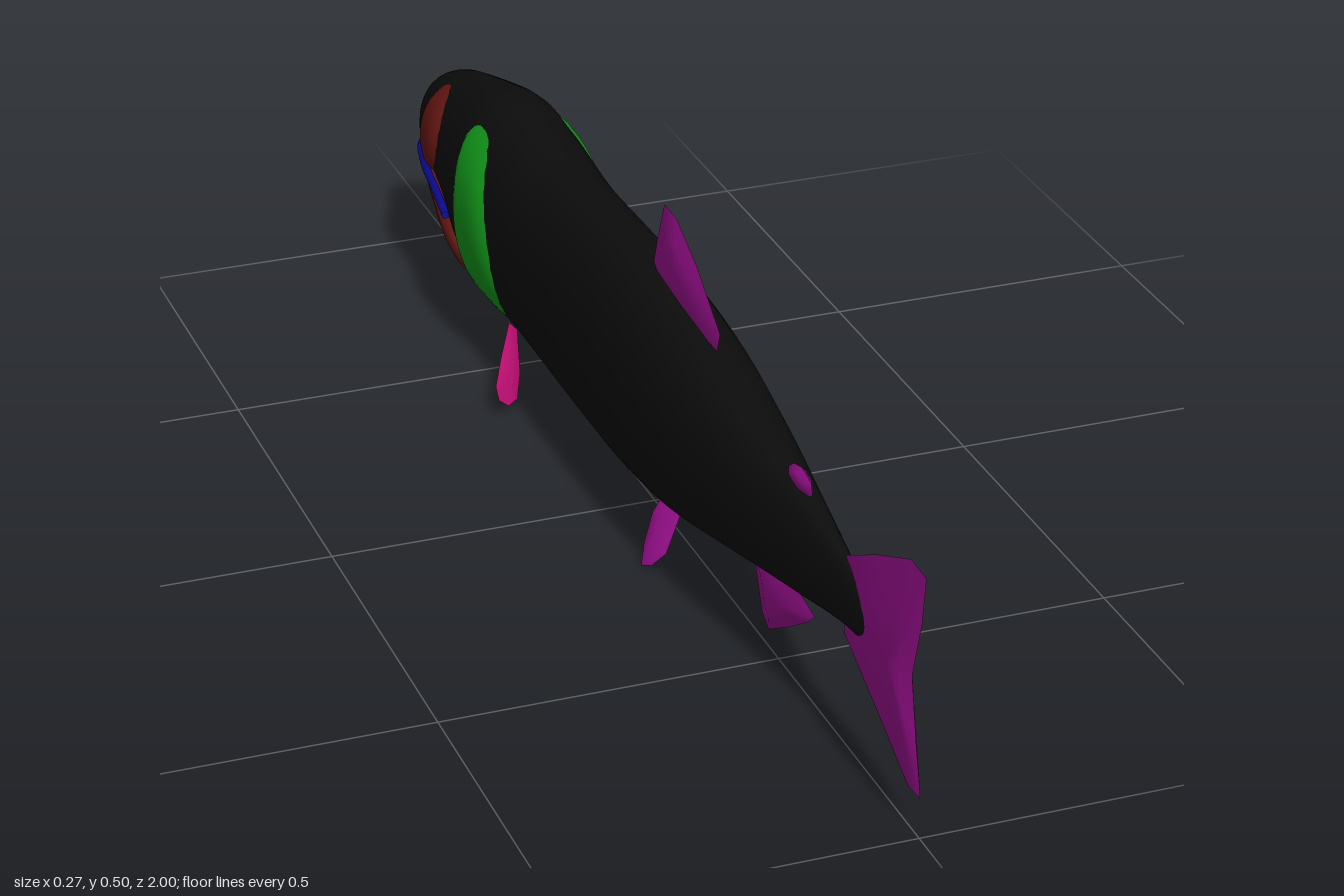
import * as THREE from 'three';

const mat = (name, color, side = THREE.DoubleSide) => {
  const m = new THREE.MeshStandardMaterial({ color, side });
  m.name = name;
  return m;
};

// Body stations along z: [z, belly, widest height, back, half width]
const BODY = [
  [-1.0, 0.21, 0.225, 0.25, 0.02], [-0.99, 0.2, 0.225, 0.278, 0.04], [-0.96, 0.198, 0.225, 0.31, 0.055],
  [-0.9, 0.192, 0.228, 0.34, 0.068], [-0.8, 0.182, 0.235, 0.368, 0.086], [-0.73, 0.16, 0.235, 0.386, 0.095],
  [-0.67, 0.085, 0.23, 0.4, 0.1], [-0.62, 0.064, 0.23, 0.404, 0.102], [-0.53, 0.062, 0.23, 0.396, 0.101],
  [-0.38, 0.06, 0.225, 0.383, 0.096], [-0.2, 0.053, 0.225, 0.39, 0.093], [0, 0.055, 0.225, 0.394, 0.092],
  [0.2, 0.078, 0.225, 0.376, 0.087], [0.4, 0.122, 0.23, 0.342, 0.068], [0.6, 0.162, 0.235, 0.312, 0.038],
  [0.74, 0.19, 0.236, 0.287, 0.018], [0.82, 0.198, 0.23, 0.266, 0.011], [0.862, 0.205, 0.23, 0.25, 0.006],
];
const JAW = [
  [-0.985, 0.175, 0.182, 0.194, 0.025], [-0.965, 0.163, 0.18, 0.194, 0.045], [-0.9, 0.146, 0.174, 0.19, 0.066],
  [-0.8, 0.125, 0.166, 0.184, 0.084], [-0.72, 0.093, 0.145, 0.18, 0.092], [-0.67, 0.075, 0.12, 0.15, 0.082],
  [-0.635, 0.067, 0.09, 0.11, 0.05],
];
const POWER = 2.2;

// Smooth interpolation of the stations at any z
function stationAt(table, z) {
  let i = 0;
  while (i < table.length - 2 && z > table[i + 1][0]) i++;
  const a = table[i], b = table[i + 1], p = table[i - 1] || a, n = table[i + 2] || b;
  const h = b[0] - a[0], t = THREE.MathUtils.clamp((z - a[0]) / h, 0, 1);
  return a.map((v, k) => {
    if (k === 0) return z;
    const ma = (b[k] - p[k]) / (b[0] - p[0]) * h, mb = (n[k] - a[k]) / (n[0] - a[0]) * h;
    const t2 = t * t, t3 = t2 * t;
    return (2 * t3 - 3 * t2 + 1) * v + (t3 - 2 * t2 + t) * ma + (3 * t2 - 2 * t3) * b[k] + (t3 - t2) * mb;
  });
}

// Half width of the body at a given height
function bodyX(z, y) {
  const [, lo, mid, hi, w] = stationAt(BODY, z);
  const s = Math.min(1, Math.abs(y - mid) / (y > mid ? hi - mid : mid - lo));
  return w * Math.pow(1 - Math.pow(s, POWER), 1 / POWER);
}

function buildGeometry(pos, idx) {
  const g = new THREE.BufferGeometry();
  g.setAttribute('position', new THREE.Float32BufferAttribute(pos, 3));
  g.setIndex(idx);
  g.computeVertexNormals();
  return g;
}

// Closed loft through rounded cross-sections
function loft(table, sides = 32, steps = 4) {
  const pos = [], idx = [], zs = [];
  table.forEach((s, i) => {
    if (i === table.length - 1) return zs.push(s[0]);
    for (let k = 0; k < steps; k++) zs.push(s[0] + (table[i + 1][0] - s[0]) * k / steps);
  });
  const bend = (v) => Math.sign(v) * Math.pow(Math.abs(v), 2 / POWER);
  for (const z of zs) {
    const [, lo, mid, hi, w] = stationAt(table, z);
    for (let i = 0; i < sides; i++) {
      const a = i / sides * Math.PI * 2, s = bend(Math.sin(a));
      pos.push(w * bend(Math.cos(a)), mid + s * (s > 0 ? hi - mid : mid - lo), z);
    }
  }
  const last = (zs.length - 1) * sides, c0 = zs.length * sides;
  pos.push(0, table[0][2], zs[0], 0, table.at(-1)[2], zs.at(-1));
  for (let i = 0; i < sides; i++) {
    const n = (i + 1) % sides;
    for (let r = 0; r < last; r += sides) {
      idx.push(r + i, r + n, r + sides + i, r + n, r + sides + n, r + sides + i);
    }
    idx.push(c0, n, i, c0 + 1, last + i, last + n);
  }
  return buildGeometry(pos, idx);
}

// Bulging plate that follows the side of the body; outline is [z, y] pairs
function sidePlate(outline, bulge, side) {
  const curve = new THREE.CatmullRomCurve3(outline.map(([z, y]) => new THREE.Vector3(0, y, z)), true);
  const rim = curve.getPoints(48).slice(0, 48), rings = 10, n = rim.length;
  const c = rim.reduce((s, p) => s.add(p), new THREE.Vector3()).divideScalar(n);
  const pos = [], idx = [];
  for (let r = 0; r <= rings; r++) {
    for (let i = 0; i < n; i++) {
      const p = c.clone().lerp(rim[i], r / rings);
      pos.push(side * (bodyX(p.z, p.y) + bulge * (1 - (r / rings) ** 4) - 0.001), p.y, p.z);
      if (r === rings) continue;
      const a = r * n + i, b = r * n + (i + 1) % n;
      if (side > 0) idx.push(a, a + n, b, b, a + n, b + n);
      else idx.push(a, b, a + n, b, b + n, a + n);
    }
  }
  return buildGeometry(pos, idx);
}

// Thin lens-shaped fin from a 3D outline
function fin(points, thickness) {
  const v = points.map((p) => new THREE.Vector3(...p)), n = v.length;
  const c = v.reduce((s, p) => s.add(p), new THREE.Vector3()).divideScalar(n);
  const normal = new THREE.Vector3();
  v.forEach((p, i) => normal.add(p.clone().sub(c).cross(v[(i + 1) % n].clone().sub(c))));
  normal.normalize();
  const pos = [], idx = [];
  for (const s of [1, -1]) {
    const base = pos.length / 3;
    for (const [scale, lift] of [[1, 0], [0.55, 0.7]]) {
      for (const p of v) pos.push(...c.clone().lerp(p, scale).addScaledVector(normal, s * lift * thickness).toArray());
    }
    pos.push(...c.clone().addScaledVector(normal, s * thickness).toArray());
    for (let i = 0; i < n; i++) {
      const a = base + i, b = base + (i + 1) % n;
      const tris = [[a, b, a + n], [b, b + n, a + n], [a + n, b + n, base + 2 * n]];
      for (const t of tris) idx.push(...(s > 0 ? t : t.reverse()));
    }
  }
  return buildGeometry(pos, idx);
}

export function createModel() {
  const group = new THREE.Group();
  const black = mat('bodyBlack', 0x0c0c0c, THREE.FrontSide), red = mat('darkRed', 0x641612);
  const green = mat('gillGreen', 0x12961a), purple = mat('finPurple', 0x9c1090);
  const pink = mat('pectoralPink', 0xc81078), blue = mat('mouthBlue', 0x0a0a8c);
  const add = (name, geometry, material) => {
    const m = new THREE.Mesh(geometry, material);
    m.name = name;
    group.add(m);
  };

  add('body', loft(BODY), black);
  add('lowerJaw', loft(JAW), red);

  // Lip line running round the snout
  const half = [[0.092, 0.178, -0.71], [0.087, 0.194, -0.78], [0.07, 0.194, -0.89], [0.046, 0.198, -0.965]];
  const lip = [...half, [0, 0.2, -0.988], ...half.map(([x, y, z]) => [-x, y, z]).reverse()];
  const lipCurve = new THREE.CatmullRomCurve3(lip.map((p) => new THREE.Vector3(...p)));
  add('mouthLine', new THREE.TubeGeometry(lipCurve, 48, 0.007, 8), blue);

  // Fins on the centre line, as [z, y] outlines
  const midFins = {
    tailFin: [[0.735, 0.29], [0.84, 0.345], [0.95, 0.395], [1, 0.392], [0.99, 0.32], [0.963, 0.23],
      [0.98, 0.145], [1, 0.065], [0.96, 0.06], [0.85, 0.115], [0.735, 0.17]],
    dorsalFin: [[-0.01, 0.38], [0.01, 0.435], [0.04, 0.505], [0.09, 0.503], [0.17, 0.465], [0.265, 0.4],
      [0.25, 0.36], [0.12, 0.36]],
    adiposeFin: [[0.51, 0.31], [0.545, 0.335], [0.575, 0.343], [0.61, 0.335], [0.615, 0.318], [0.58, 0.3]],
    analFin: [[0.63, 0.14], [0.605, 0.118], [0.53, 0.07], [0.46, 0.03], [0.435, 0.045], [0.4, 0.125], [0.5, 0.16]],
  };
  const thick = { tailFin: 0.014, dorsalFin: 0.012, adiposeFin: 0.01, analFin: 0.012 };
  for (const [name, o] of Object.entries(midFins)) add(name, fin(o.map(([z, y]) => [0, y, z]), thick[name]), purple);

  // Paired parts
  const gill = [[-0.6, 0.373], [-0.633, 0.358], [-0.635, 0.28], [-0.634, 0.2], [-0.622, 0.115], [-0.6, 0.077],
    [-0.5, 0.077], [-0.47, 0.11], [-0.47, 0.2], [-0.51, 0.3], [-0.55, 0.357]];
  const eye = Array.from({ length: 12 }, (_, i) => {
    const a = i / 12 * Math.PI * 2;
    return [-0.825 + 0.066 * Math.cos(a), 0.278 + 0.068 * Math.sin(a)];
  });
  const pectoral = [[0.055, 0.08, -0.47], [0.075, 0.105, -0.45], [0.11, 0.082, -0.385], [0.136, 0.058, -0.335],
    [0.132, 0.035, -0.332], [0.112, 0.016, -0.345], [0.088, 0.01, -0.375], [0.068, 0.03, -0.42]];
  const pelvic = [[0.13, 0.09], [0.13, 0.06], [0.155, 0.025], [0.18, 0.004], [0.205, 0.015], [0.222, 0.04], [0.2, 0.085]]
    .map(([z, y]) => [0.035 + (0.085 - y) * 0.65, y, z]);
  for (const [label, s] of [['left', 1], ['right', -1]]) {
    const mirror = (pts) => pts.map(([x, y, z]) => [s * x, y, z]);
    add(label + 'GillCover', sidePlate(gill, 0.012, s), green);
    add(label + 'Eye', sidePlate(eye, 0.014, s), red);
    add(label + 'PectoralFin', fin(mirror(pectoral), 0.006), pink);
    add(label + 'PelvicFin', fin(mirror(pelvic), 0.006), purple);
  }
  return group;
}
